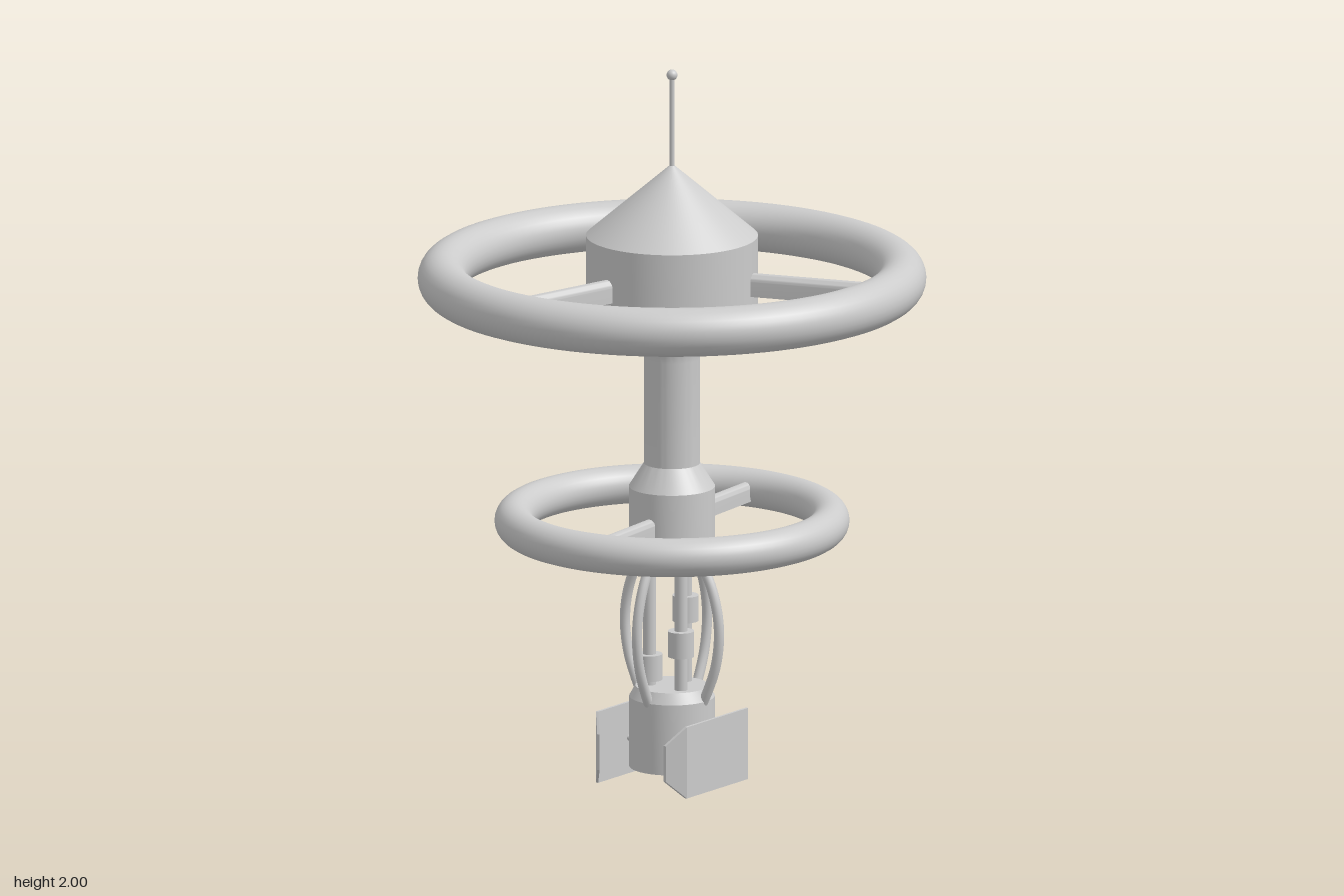
import * as THREE from 'three';
import { toCreasedNormals, mergeGeometries } from 'three/addons/utils/BufferGeometryUtils.js';

const material = new THREE.MeshStandardMaterial({ color: 0xcccccc });

function add(parent, name, geometry, x = 0, y = 0, z = 0) {
  const mesh = new THREE.Mesh(geometry, material);
  mesh.name = name;
  mesh.position.set(x, y, z);
  parent.add(mesh);
  return mesh;
}

// Turned part from [radius, height] pairs, listed bottom to top
function turned(profile, segments = 64) {
  const points = profile.map(([r, y]) => new THREE.Vector2(r, y));
  return toCreasedNormals(new THREE.LatheGeometry(points, segments), 0.45);
}

function ring(radius, tube) {
  return new THREE.TorusGeometry(radius, tube, 28, 96).rotateX(Math.PI / 2);
}

// Spoke along +x with a flat underside and a rounded top
function spoke(from, to, width, height) {
  const w = width / 2, h = height / 2;
  const s = new THREE.Shape();
  s.moveTo(-w, -h);
  s.lineTo(w, -h);
  s.lineTo(w, h - w);
  s.absarc(0, h - w, w, 0, Math.PI);
  s.closePath();
  const g = new THREE.ExtrudeGeometry(s, { depth: to - from, bevelEnabled: false, curveSegments: 12 });
  return toCreasedNormals(g.translate(0, 0, from).rotateY(Math.PI / 2), 0.6);
}

// Octagonal plate facing +x whose two ends are folded inward
function finGeometry() {
  const fold = 0.14, end = 0.185, top = 0.2, cut = 0.05;
  const outlines = [
    [[-fold, 0], [fold, 0], [fold, top], [-fold, top]],
    [[fold, 0], [end, cut], [end, top - cut], [fold, top]],
    [[-fold, 0], [-fold, top], [-end, top - cut], [-end, cut]],
  ];
  const parts = outlines.map((o) => {
    const shape = new THREE.Shape(o.map(([z, y]) => new THREE.Vector2(z, y)));
    const g = new THREE.ExtrudeGeometry(shape, { depth: 0.008, bevelEnabled: false });
    g.rotateY(-Math.PI / 2);
    const p = g.attributes.position;
    for (let i = 0; i < p.count; i++) {
      p.setX(i, p.getX(i) - Math.max(0, Math.abs(p.getZ(i)) - fold) * 0.85);
    }
    g.computeVertexNormals();
    return g;
  });
  return mergeGeometries(parts);
}

export function createModel() {
  const model = new THREE.Group();
  model.name = 'station';

  // Head with conical roof, and antenna
  add(model, 'head', turned([[0, 1.3], [0.235, 1.3], [0.235, 1.535], [0.008, 1.73], [0, 1.73]], 96));
  add(model, 'antenna', new THREE.CylinderGeometry(0.007, 0.007, 0.27, 16), 0, 1.85, 0);
  add(model, 'antennaTip', new THREE.SphereGeometry(0.015, 20, 14), 0, 1.985, 0);

  // Column: lower collar, neck and flare under the head
  const column = [[0, 0.6], [0.1, 0.6], [0.108, 0.632], [0.118, 0.637], [0.118, 0.83], [0.077, 0.895], [0.077, 1.19]];
  for (let i = 1; i <= 10; i++) {
    const a = (i / 10) * Math.PI / 2;
    column.push([0.077 + 0.1 * (1 - Math.cos(a)), 1.19 + 0.115 * Math.sin(a)]);
  }
  add(model, 'column', turned(column));

  // Two habitat rings and their spokes
  const rings = [
    { name: 'upper', y: 1.415, radius: 0.628, tube: 0.067, from: 0.2, width: 0.042, height: 0.062, count: 3, start: 0.31 },
    { name: 'lower', y: 0.733, radius: 0.432, tube: 0.053, from: 0.09, width: 0.035, height: 0.052, count: 2, start: Math.PI / 2 + 0.09 },
  ];
  for (const r of rings) {
    add(model, r.name + 'Ring', ring(r.radius, r.tube), 0, r.y, 0);
    const g = spoke(r.from, r.radius - r.tube + 0.015, r.width, r.height);
    for (let i = 0; i < r.count; i++) {
      add(model, r.name + 'Spoke', g, 0, r.y, 0).rotation.y = r.start + (i * 2 * Math.PI) / r.count;
    }
  }

  // Bowed cage bars between column and base
  const bow = new THREE.CatmullRomCurve3([
    [0.1, 0.63], [0.135, 0.56], [0.155, 0.49], [0.16, 0.42], [0.148, 0.34], [0.122, 0.27], [0.105, 0.235],
  ].map(([x, y]) => new THREE.Vector3(x, y, 0)));
  const bar = new THREE.TubeGeometry(bow, 32, 0.014, 14);
  for (let i = 0; i < 4; i++) add(model, 'cageBar', bar, 0, 0, 0).rotation.y = (i * Math.PI) / 2;

  // Inner rods with staggered collars
  for (const [x, z, y] of [[-0.054, 0.031, 0.32], [0.054, 0.031, 0.4], [0, -0.062, 0.475]]) {
    add(model, 'innerRod', new THREE.CylinderGeometry(0.018, 0.018, 0.37, 24), x, 0.435, z);
    add(model, 'rodCollar', new THREE.CylinderGeometry(0.036, 0.036, 0.072, 32), x, y, z);
  }

  // Base drum and side fins
  add(model, 'base', turned([[0, 0.043], [0.117, 0.043], [0.117, 0.24], [0.1, 0.27], [0, 0.27]]));
  const fin = finGeometry();
  for (const turn of [0, Math.PI]) {
    const side = new THREE.Group();
    side.name = 'finAssembly';
    side.rotation.y = turn;
    add(side, 'fin', fin, 0.155, 0, 0);
    add(side, 'finStrut', new THREE.CylinderGeometry(0.008, 0.008, 0.06, 12).rotateZ(Math.PI / 2), 0.122, 0.1, 0);
    model.add(side);
  }
  return model;
}
